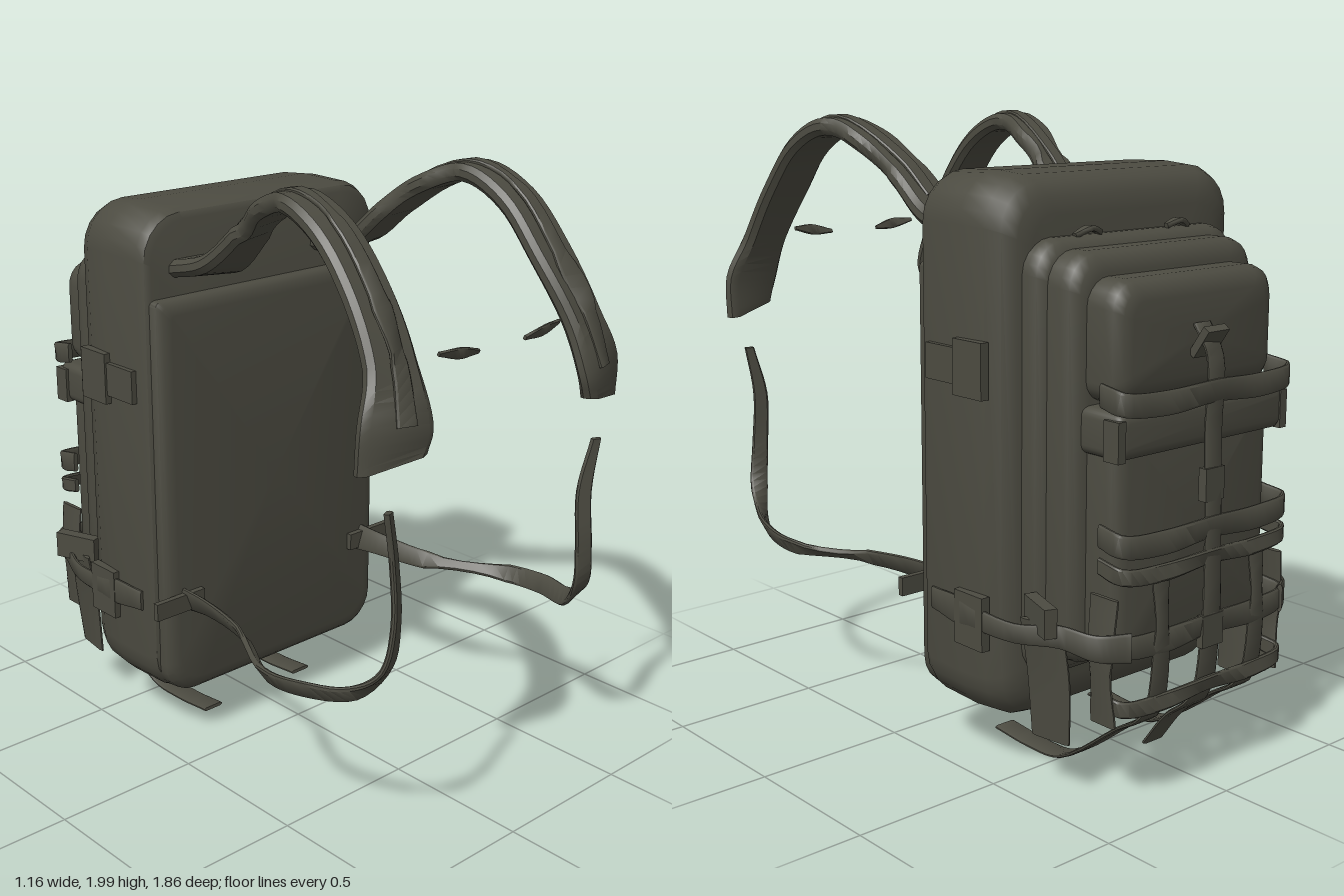
import * as THREE from 'three';
import { toCreasedNormals } from 'three/addons/utils/BufferGeometryUtils.js';

const fabric = new THREE.MeshStandardMaterial({ color: 0x4c4b41, side: THREE.DoubleSide });
fabric.name = 'olive fabric';

// Closed skin over a list of rings (each counter-clockwise about the travel direction)
function loft(rings, crease) {
  const pos = [], n = rings[0].length;
  const tri = (...v) => v.forEach(p => pos.push(p.x, p.y, p.z));
  const mid = r => r.reduce((s, p) => s.add(p), new THREE.Vector3()).divideScalar(n);
  const first = rings[0], last = rings[rings.length - 1];
  const c0 = mid(first), c1 = mid(last);
  for (let j = 0; j < n; j++) {
    const k = (j + 1) % n;
    tri(c0, first[k], first[j]);
    tri(c1, last[j], last[k]);
    for (let i = 0; i < rings.length - 1; i++) {
      const a = rings[i], b = rings[i + 1];
      tri(a[j], a[k], b[k]);
      tri(a[j], b[k], b[j]);
    }
  }
  const g = new THREE.BufferGeometry();
  g.setAttribute('position', new THREE.Float32BufferAttribute(pos, 3));
  return toCreasedNormals(g, crease);
}

// Soft pouch: rounded rectangle outline swept along z with an inset per step
function pouch(halfW, y0, y1, rBottom, rTop, profile) {
  return loft(profile.map(([z, inset]) => {
    const ring = [], w = halfW - inset, lo = y0 + inset, hi = y1 - inset;
    const corner = (sx, sy, r0, start) => {
      const r = Math.max(r0 - inset * 0.5, 0.015);
      for (let i = 0; i <= 5; i++) {
        const a = start + i / 5 * Math.PI / 2;
        ring.push(new THREE.Vector3(sx * (w - r) + r * Math.cos(a),
          (sy > 0 ? hi - r : lo + r) + r * Math.sin(a), z));
      }
    };
    corner(1, 1, rTop, 0);
    corner(-1, 1, rTop, Math.PI / 2);
    corner(-1, -1, rBottom, Math.PI);
    corner(1, -1, rBottom, Math.PI * 1.5);
    return ring;
  }), 0.75);
}

// Profile with a rounded back edge running to a plain front
const softBack = (back, front, r) => [
  [back, r], [back + r * 0.13, r * 0.5], [back + r * 0.5, r * 0.13], [back + r, 0], [front, 0]];

// Webbing: points are [x, y, z, half-width vector x, y, z]; s mirrors in x
function ribbon(points, thick, s = 1, steps = 5) {
  const V = (a, i) => new THREE.Vector3(s * a[i], a[i + 1], a[i + 2]);
  const path = new THREE.CatmullRomCurve3(points.map(p => V(p, 0)));
  const width = new THREE.CatmullRomCurve3(points.map(p => V(p, 3)));
  const N = (points.length - 1) * steps, rings = [];
  const section = [[1, -0.4], [1, 0.4], [0.8, 1], [-0.8, 1], [-1, 0.4], [-1, -0.4], [-0.8, -1], [0.8, -1]];
  for (let i = 0; i <= N; i++) {
    const c = path.getPoint(i / N), w = width.getPoint(i / N);
    const n = path.getTangent(i / N).cross(w).normalize().multiplyScalar(thick);
    rings.push(section.map(([a, b]) => c.clone().addScaledVector(w, a).addScaledVector(n, b)));
  }
  return loft(rings, 0.7);
}

export function createModel() {
  const model = new THREE.Group();
  const add = (name, geometry) => {
    const m = new THREE.Mesh(geometry, fabric);
    m.name = name;
    model.add(m);
    return m;
  };
  const box = (name, w, h, d, x, y, z, rx = 0, ry = 0) => {
    const m = add(name, new THREE.BoxGeometry(w, h, d));
    m.position.set(x, y, z);
    m.rotation.set(rx, ry, 0);
  };

  // Bag body and its stacked compartments
  add('mainCompartment', pouch(0.505, 0.18, 1.85, 0.15, 0.15, [
    [-0.545, 0.12], [-0.535, 0.07], [-0.51, 0.03], [-0.46, 0.008], [-0.36, 0],
    [-0.2, 0.004], [-0.17, 0.015], [-0.16, 0.035]]));
  add('backPad', pouch(0.48, 0.19, 1.575, 0.12, 0.02, [
    [-0.18, 0], [-0.135, 0.004], [-0.118, 0.02], [-0.112, 0.05]]));
  add('middleCompartment', pouch(0.42, 0.34, 1.665, 0.1, 0.1, softBack(-0.62, -0.5, 0.06)));
  add('frontCompartment', pouch(0.39, 0.4, 1.635, 0.1, 0.1, softBack(-0.725, -0.58, 0.06)));
  add('upperPocket', pouch(0.34, 1.21, 1.565, 0.06, 0.08, softBack(-0.85, -0.7, 0.06)));
  add('lowerPocket', pouch(0.335, 0.43, 1.19, 0.07, 0.04, softBack(-0.845, -0.7, 0.05)));
  add('lowerPocketFlap', pouch(0.355, 1.06, 1.2, 0.03, 0.03, softBack(-0.878, -0.72, 0.03)));

  // Horizontal webbing across the pockets
  for (const [y, h] of [[1.23, 0.035], [0.82, 0.035], [0.73, 0.025], [0.52, 0.035], [0.33, 0.025]]) {
    add('crossStrap', ribbon([
      [0.355, y + 0.015, -0.8, 0, h, 0], [0.35, y, -0.89, 0, h, 0], [0.2, y - 0.01, -0.91, 0, h, 0.006],
      [0, y, -0.915, 0, h, -0.006], [-0.2, y - 0.01, -0.91, 0, h, 0.006],
      [-0.35, y, -0.89, 0, h, 0], [-0.355, y + 0.015, -0.8, 0, h, 0]], 0.008));
  }

  // Centre strap with its buckles and loose tail
  add('centreStrap', ribbon([
    [0, 1.42, -0.85, 0.035, 0, 0], [0, 1.33, -0.905, 0.035, 0, 0], [0, 1.1, -0.905, 0.03, 0, 0.006],
    [0, 0.8, -0.915, 0.035, 0, 0], [0, 0.5, -0.915, 0.04, 0, 0], [0, 0.28, -0.88, 0.045, 0, 0],
    [0, 0.19, -0.78, 0.045, 0, 0], [0, 0.07, -0.69, 0.045, 0, 0]], 0.007));
  box('centreBuckle', 0.09, 0.1, 0.025, 0, 1.37, -0.88, -0.6);
  box('centreBuckle', 0.08, 0.1, 0.03, 0, 0.95, -0.905);
  box('centreBuckle', 0.09, 0.1, 0.025, 0, 0.5, -0.915);

  for (const s of [1, -1]) {
    // Padded shoulder strap with webbing along its outer face
    add('shoulderStrap', ribbon([
      [0.3, 1.66, -0.17, 0.1, 0, 0], [0.3, 1.69, -0.02, 0.09, 0.01, 0], [0.31, 1.81, 0.13, 0.075, 0, 0],
      [0.345, 1.91, 0.27, 0.075, 0, 0], [0.375, 1.955, 0.41, 0.075, 0, 0], [0.385, 1.89, 0.57, 0.08, 0, 0],
      [0.39, 1.74, 0.71, 0.085, 0, 0], [0.41, 1.57, 0.82, 0.085, 0, -0.01],
      [0.44, 1.42, 0.875, 0.11, 0.01, -0.03], [0.455, 1.31, 0.875, 0.1, -0.02, -0.035]], 0.028, s));
    add('shoulderWebbing', ribbon([
      [0.3, 1.75, 0.02, 0.025, 0, 0], [0.32, 1.86, 0.14, 0.025, 0, 0], [0.37, 1.985, 0.4, 0.025, 0, 0],
      [0.385, 1.92, 0.59, 0.025, 0, 0], [0.39, 1.75, 0.745, 0.03, 0, 0],
      [0.41, 1.58, 0.855, 0.03, 0, 0], [0.43, 1.42, 0.91, 0.03, 0, -0.01]], 0.008, s));
    add('chestClip', ribbon([
      [0.1, 1.56, 0.865, 0, 0.006, 0.003], [0.18, 1.57, 0.87, 0, 0.018, 0.005],
      [0.26, 1.58, 0.86, 0, 0.006, 0.003]], 0.005, s));

    // Adjuster webbing from the lower body up toward the shoulder strap
    add('lowerStrap', ribbon([
      [0.4, 0.545, -0.14, 0.015, 0.045, 0], [0.4, 0.55, 0, 0.015, 0.035, 0], [0.43, 0.545, 0.2, 0.015, 0.028, 0],
      [0.555, 0.545, 0.47, 0.015, 0.028, 0], [0.55, 0.56, 0.63, 0.015, 0.03, 0],
      [0.49, 0.585, 0.78, 0.02, 0.025, 0], [0.445, 0.68, 0.865, 0.03, 0, 0.008],
      [0.425, 0.82, 0.88, 0.025, 0, 0.012], [0.425, 1, 0.868, 0.022, 0, 0.012],
      [0.46, 1.17, 0.875, 0.015, 0, 0.006]], 0.009, s));
    box('lowerStrapAnchor', 0.2, 0.06, 0.02, s * 0.44, 0.545, -0.1);

    // Side compression strap, buckles and hanging tails
    add('compressionStrap', ribbon([
      [0.505, 0.535, -0.22, 0, 0.035, 0], [0.52, 0.53, -0.42, 0, 0.035, 0], [0.5, 0.52, -0.6, 0, 0.03, 0],
      [0.45, 0.535, -0.74, 0, 0.035, 0], [0.41, 0.52, -0.85, 0, 0.04, 0],
      [0.33, 0.52, -0.91, 0, 0.045, 0]], 0.008, s));
    box('lowerSideBuckle', 0.03, 0.17, 0.13, s * 0.512, 0.515, -0.415);
    box('compressionBuckle', 0.04, 0.09, 0.16, s * 0.455, 0.58, -0.66, 0, s * -0.35);
    add('compressionTail', ribbon([
      [0.45, 0.56, -0.66, 0.015, 0, 0.075], [0.425, 0.38, -0.665, 0.01, 0, 0.08],
      [0.41, 0.18, -0.66, 0.01, 0, 0.07]], 0.007, s));
    box('upperSideBuckle', 0.03, 0.17, 0.13, s * 0.512, 1.285, -0.415);
    box('upperSideTab', 0.02, 0.11, 0.14, s * 0.51, 1.285, -0.285);
    add('pocketSideStrap', ribbon([
      [0.36, 0.66, -0.83, 0, 0, 0.055], [0.375, 0.48, -0.83, 0, 0, 0.05],
      [0.36, 0.27, -0.83, 0, 0, 0.05]], 0.008, s));
    box('pocketSideTab', 0.03, 0.12, 0.06, s * 0.35, 1.12, -0.85);

    // Long tail folding under the bag
    add('underTail', ribbon([
      [0.21, 0.72, -0.905, 0.035, 0, 0], [0.21, 0.5, -0.915, 0.035, 0, 0], [0.21, 0.28, -0.88, 0.04, 0, 0],
      [0.21, 0.2, -0.77, 0.04, 0, 0], [0.21, 0.025, -0.52, 0.04, 0, 0], [0.21, 0.013, -0.38, 0.04, 0, 0],
      [0.21, 0.025, -0.22, 0.04, 0, 0]], 0.006, s));

    // Zip pulls on top of the middle compartment
    add('zipPull', ribbon([
      [0.14, 1.67, -0.57, 0, 0, 0.008], [0.19, 1.685, -0.575, 0, 0, 0.018],
      [0.24, 1.665, -0.565, 0, 0, 0.008]], 0.008, s));
  }
  return model;
}
